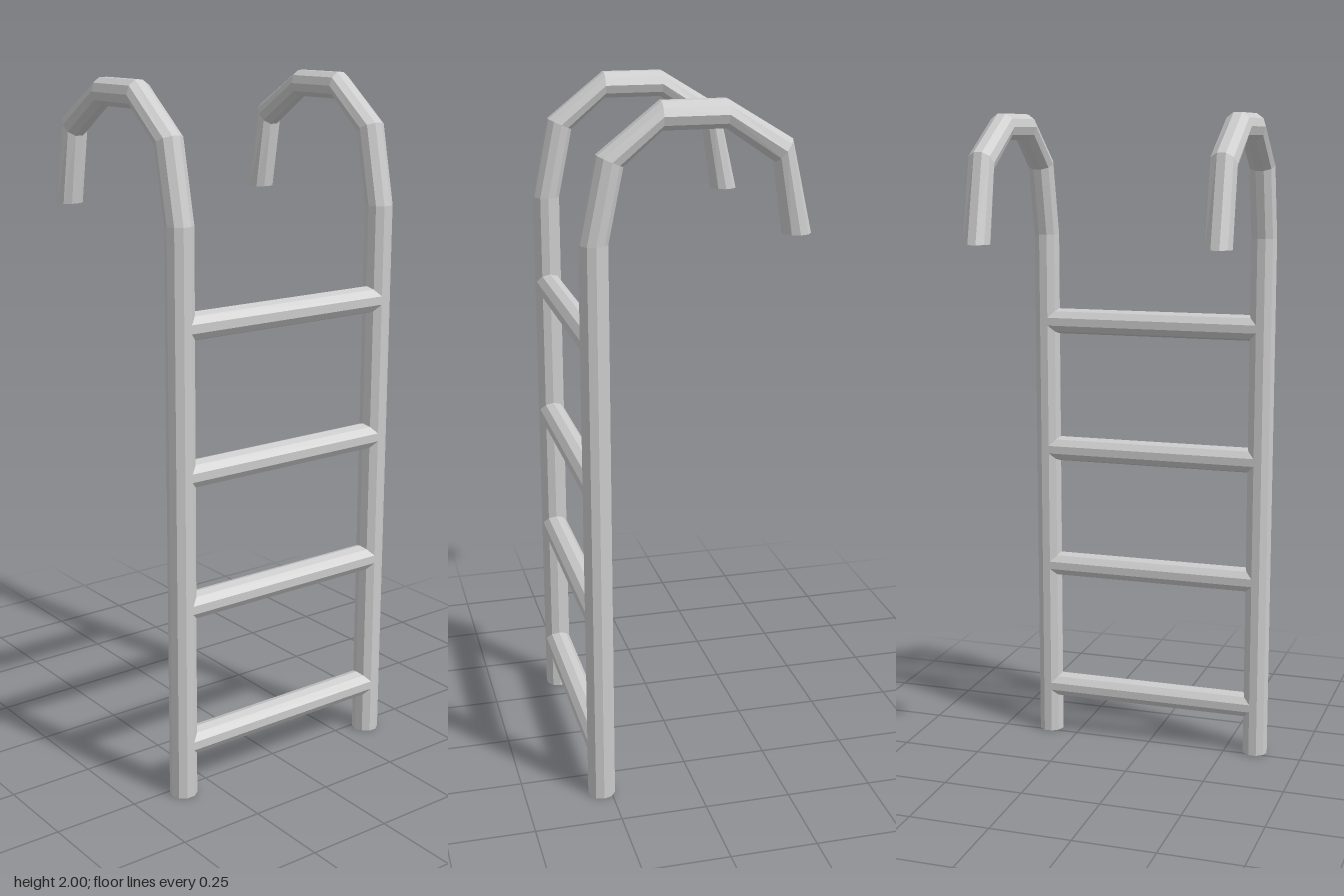
import * as THREE from 'three';

const SIDES = 10;
const R = 0.0395;
const LEG_X = 0.3475;
const LEG_Z = 0.277;

// Handrail path: z, y, and angle of the ring's outward direction in the zy plane
const RAIL = [
  [LEG_Z, 0, 0],
  [LEG_Z, 1.637, 0],
  [0.232, 1.852, 24],
  [0.096, 1.9624, 88],
  [-0.078, 1.9624, 92],
  [-0.234, 1.863, 128],
  [-0.277, 1.64, 180],
];

// Sweeps a ten-sided ring along the path and caps both ends
function railGeometry() {
  const pos = [];
  const index = [];
  for (const [z, y, deg] of RAIL) {
    const a = THREE.MathUtils.degToRad(deg);
    for (let i = 0; i < SIDES; i++) {
      const t = (i / SIDES) * Math.PI * 2;
      const out = Math.sin(t) * R;
      pos.push(Math.cos(t) * R, y + out * Math.sin(a), z + out * Math.cos(a));
    }
  }
  for (let k = 0; k < RAIL.length - 1; k++) {
    for (let i = 0; i < SIDES; i++) {
      const a = k * SIDES + i;
      const b = k * SIDES + ((i + 1) % SIDES);
      index.push(a, a + SIDES, b, b, a + SIDES, b + SIDES);
    }
  }
  const last = (RAIL.length - 1) * SIDES;
  for (let i = 1; i < SIDES - 1; i++) {
    index.push(0, i, i + 1);
    index.push(last, last + i + 1, last + i);
  }
  const geo = new THREE.BufferGeometry();
  geo.setAttribute('position', new THREE.Float32BufferAttribute(pos, 3));
  geo.setIndex(index);
  const flat = geo.toNonIndexed();
  flat.computeVertexNormals();
  return flat;
}

export function createModel() {
  const group = new THREE.Group();
  const material = new THREE.MeshStandardMaterial({ color: 0xcccccc, flatShading: true });

  // Two side rails with hooked handles
  const railGeo = railGeometry();
  for (const side of [1, -1]) {
    const rail = new THREE.Mesh(railGeo, material);
    rail.name = side > 0 ? 'leftRail' : 'rightRail';
    rail.position.x = side * LEG_X;
    group.add(rail);
  }

  // Rungs, turned so that one edge points up
  const rungGeo = new THREE.CylinderGeometry(R, R, LEG_X * 2, SIDES);
  rungGeo.rotateY(Math.PI / 2);
  rungGeo.rotateZ(Math.PI / 2);
  [0.156, 0.571, 0.955, 1.366].forEach((y, i) => {
    const rung = new THREE.Mesh(rungGeo, material);
    rung.name = `rung${i + 1}`;
    rung.position.set(0, y, LEG_Z);
    group.add(rung);
  });

  return group;
}
